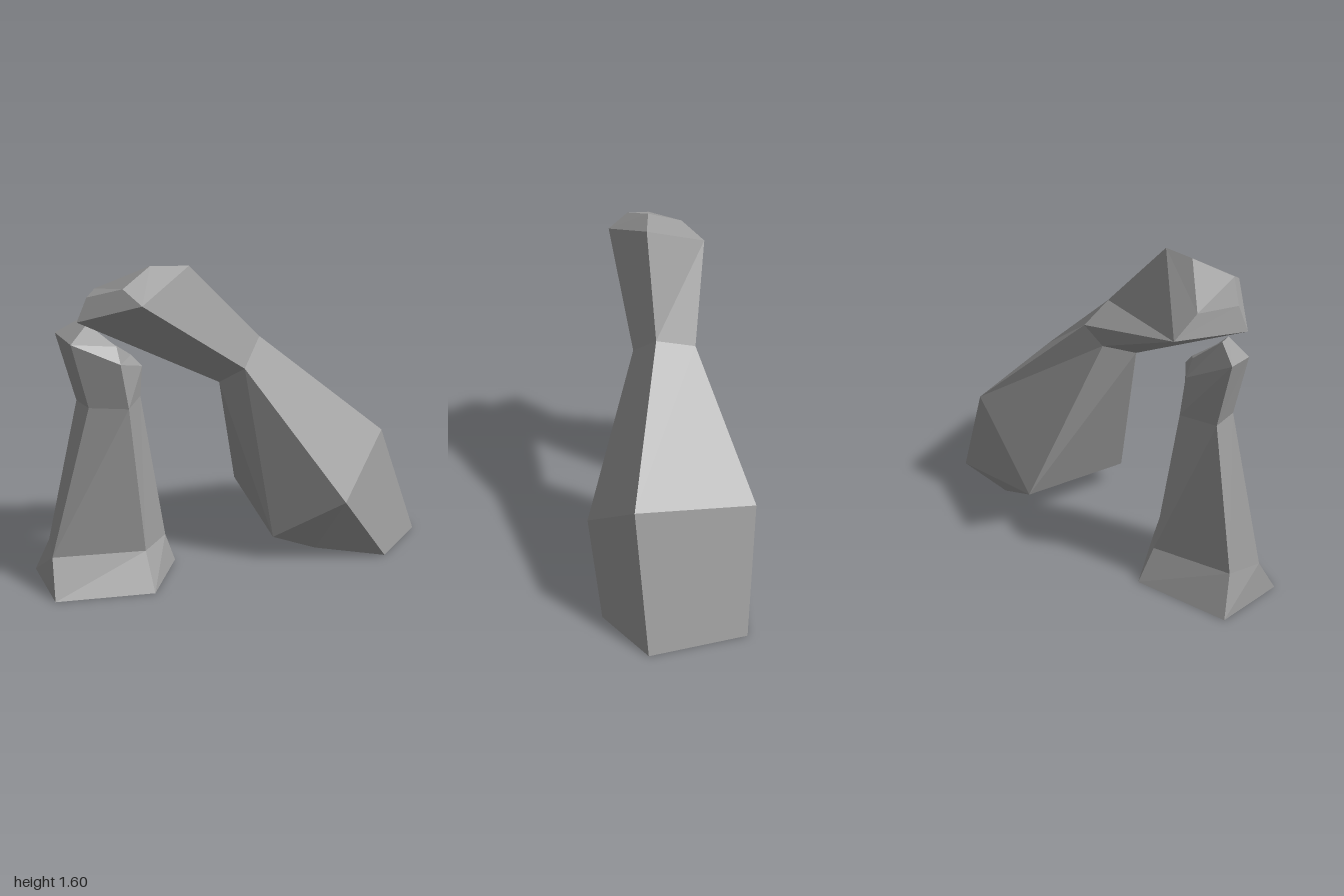
import * as THREE from 'three';

// Darker stone grey; the rocks are hollow shells open at the foot
const material = new THREE.MeshStandardMaterial({ color: 0x9c9c9c, flatShading: true, side: THREE.DoubleSide });

// Skins a stack of five-sided rings (listed bottom to top, counterclockwise from above) and caps the top.
function facetedRock(name, rings) {
  const positions = [];
  const v = (p) => new THREE.Vector3(...p);
  const tri = (a, b, c) => {
    const area = v(b).sub(v(a)).cross(v(c).sub(v(a))).length();
    if (area > 1e-6) positions.push(...a, ...b, ...c); // skip collapsed corners
  };
  for (let r = 0; r < rings.length - 1; r++) {
    const lo = rings[r], up = rings[r + 1];
    for (let i = 0; i < lo.length; i++) {
      const j = (i + 1) % lo.length;
      tri(lo[i], lo[j], up[j]);
      tri(lo[i], up[j], up[i]);
    }
  }
  const top = rings[rings.length - 1];
  for (let i = 1; i < top.length - 1; i++) tri(top[0], top[i], top[i + 1]);
  const geometry = new THREE.BufferGeometry();
  geometry.setAttribute('position', new THREE.Float32BufferAttribute(positions, 3));
  geometry.computeVertexNormals();
  const mesh = new THREE.Mesh(geometry, material);
  mesh.name = name;
  return mesh;
}

export function createModel() {
  const group = new THREE.Group();
  group.name = 'rockArch';

  // Large leaning rock: foot, bulge, waist, head, tip
  group.add(facetedRock('leaningRock', [
    [[0.717, 0, 0.35], [1, 0, 0.13], [0.873, 0, -0.34], [0.516, 0, -0.326], [0.415, 0, 0.147]],
    [[0.45, 0.38, 0.415], [0.753, 0.637, 0.185], [0.62, 0.575, -0.385], [0.18, 0.2, -0.415], [0.155, 0.135, 0.19]],
    [[0, 1.07, 0.18], [0.12, 1.185, 0.07], [0.075, 1.13, -0.12], [-0.023, 1.043, -0.088], [-0.09, 0.975, 0.07]],
    [[-0.54, 1.48, 0.295], [-0.25, 1.587, 0.105], [-0.635, 1.365, -0.198], [-0.635, 1.365, -0.198], [-0.793, 1.375, 0.1]],
    [[-0.6, 1.54, 0.2], [-0.435, 1.603, 0.095], [-0.655, 1.47, -0.08], [-0.655, 1.47, -0.08], [-0.74, 1.485, 0.09]],
  ]));

  // Upright pillar: foot, ankle, neck, head, tip
  group.add(facetedRock('pillarRock', [
    [[-0.51, 0, 0.285], [-0.31, 0, 0], [-0.525, 0, -0.29], [-1, 0, -0.168], [-0.987, 0, 0.19]],
    [[-0.51, 0.165, 0.145], [-0.36, 0.157, 0], [-0.53, 0.165, -0.195], [-0.94, 0.2, -0.085], [-0.967, 0.188, 0.088]],
    [[-0.58, 0.943, 0.17], [-0.48, 0.945, 0.03], [-0.605, 0.94, -0.12], [-0.775, 0.935, -0.05], [-0.75, 0.94, 0.08]],
    [[-0.61, 1.165, 0.16], [-0.47, 1.1, 0.04], [-0.62, 1.14, -0.105], [-0.86, 1.285, -0.06], [-0.823, 1.265, 0.085]],
    [[-0.61, 1.235, 0.1], [-0.52, 1.16, 0.03], [-0.6, 1.21, -0.045], [-0.755, 1.35, -0.02], [-0.73, 1.345, 0.045]],
  ]));

  return group;
}
